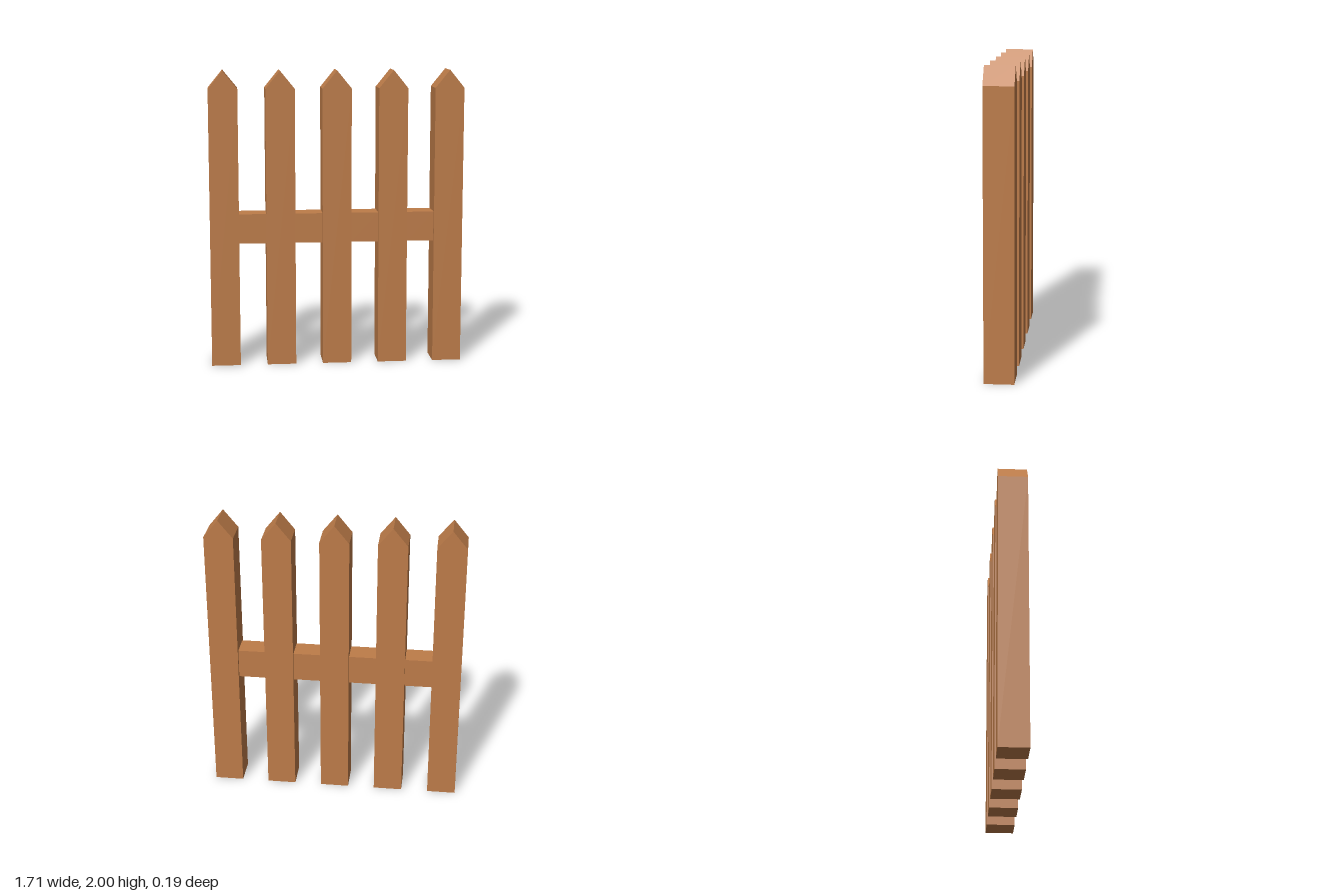
import * as THREE from 'three';

export function createModel() {
  const fence = new THREE.Group();
  fence.name = 'picketFence';

  const wood = new THREE.MeshStandardMaterial({ color: 0xbd7c49 });
  wood.name = 'brown wood';

  const count = 5, spacing = 0.379, width = 0.195, depth = 0.195;
  const height = 2, shoulder = 1.88, h = width / 2;

  // Pointed picket outline, extruded through its depth
  const outline = new THREE.Shape([
    new THREE.Vector2(-h, 0),
    new THREE.Vector2(h, 0),
    new THREE.Vector2(h, shoulder),
    new THREE.Vector2(0, height),
    new THREE.Vector2(-h, shoulder),
  ]);
  const picketGeometry = new THREE.ExtrudeGeometry(outline, { depth, bevelEnabled: false });
  picketGeometry.translate(0, 0, -depth / 2);

  // Evenly spaced pickets
  for (let i = 0; i < count; i++) {
    const picket = new THREE.Mesh(picketGeometry, wood);
    picket.name = `picket${i + 1}`;
    picket.position.x = (i - (count - 1) / 2) * spacing;
    fence.add(picket);
  }

  // Crossbar sections joining neighbouring pickets
  const railGeometry = new THREE.BoxGeometry(spacing - width, 0.2, 0.15);
  for (let i = 0; i < count - 1; i++) {
    const rail = new THREE.Mesh(railGeometry, wood);
    rail.name = `rail${i + 1}`;
    rail.position.set((i - (count - 2) / 2) * spacing, 0.94, 0);
    fence.add(rail);
  }

  return fence;
}
